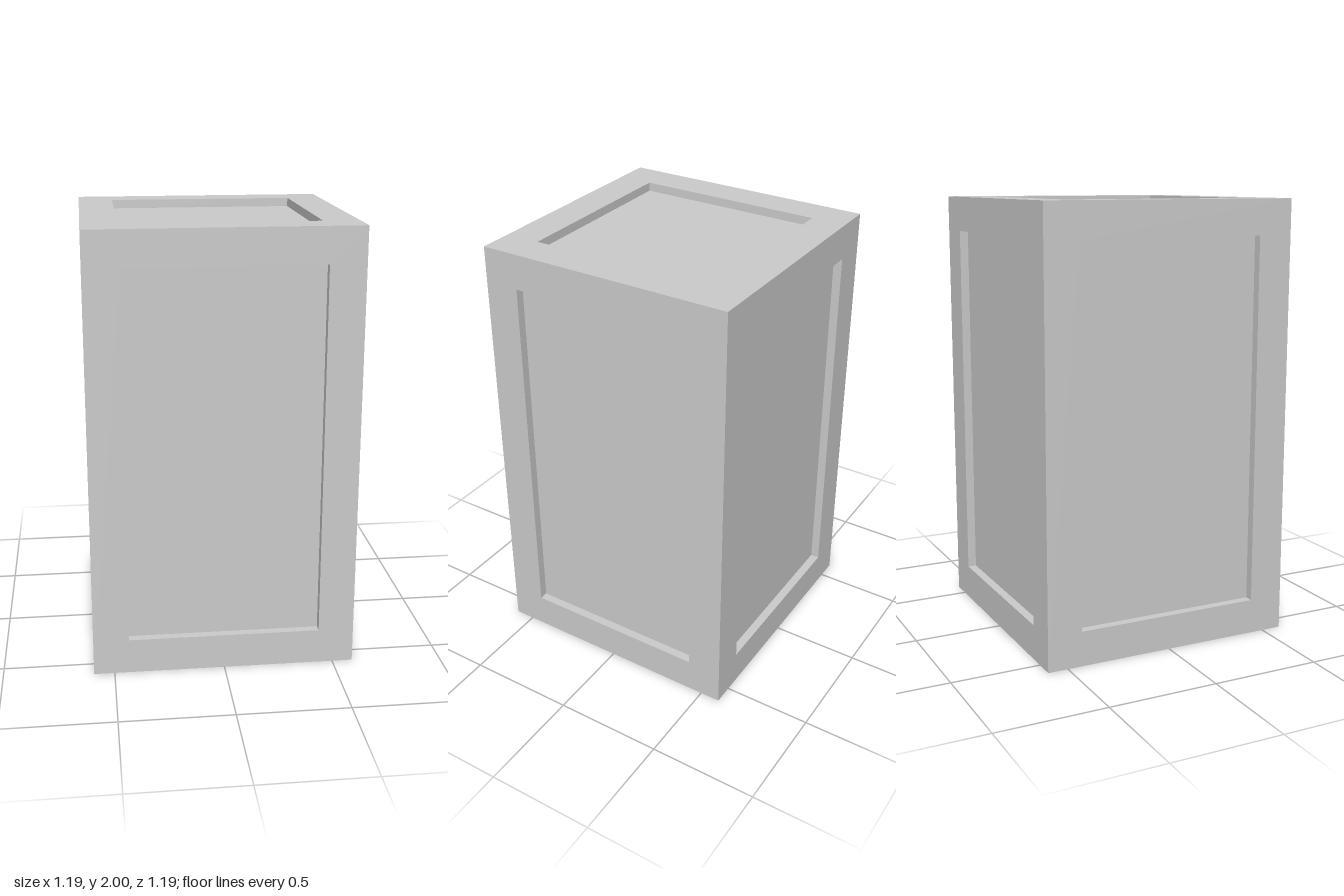
import * as THREE from 'three';
import { mergeGeometries } from 'three/addons/utils/BufferGeometryUtils.js';

const SIDE = 1.186, HEIGHT = 2, BORDER = 0.16, DEPTH = 0.04;

// Flat border with a sunken panel, centred on the origin and facing +z
function recessedFace(w, h) {
  const pw = w - 2 * BORDER, ph = h - 2 * BORDER;
  const rect = (Type, a, b) => new Type([
    new THREE.Vector2(-a / 2, -b / 2), new THREE.Vector2(a / 2, -b / 2),
    new THREE.Vector2(a / 2, b / 2), new THREE.Vector2(-a / 2, b / 2),
  ]);
  const outline = rect(THREE.Shape, w, h);
  outline.holes.push(rect(THREE.Path, pw, ph));
  const parts = [
    new THREE.ShapeGeometry(outline),
    new THREE.PlaneGeometry(pw, ph).translate(0, 0, -DEPTH),
  ];
  // Recess walls, facing the middle of the opening
  for (const s of [-1, 1]) {
    parts.push(
      new THREE.PlaneGeometry(DEPTH, ph).rotateY(-s * Math.PI / 2).translate(s * pw / 2, 0, -DEPTH / 2),
      new THREE.PlaneGeometry(pw, DEPTH).rotateX(s * Math.PI / 2).translate(0, s * ph / 2, -DEPTH / 2),
    );
  }
  return mergeGeometries(parts);
}

export function createModel() {
  const model = new THREE.Group();
  model.name = 'panelledBlock';
  const material = new THREE.MeshStandardMaterial({ color: 0xcccccc, flatShading: true });
  const add = (name, geometry) => {
    const mesh = new THREE.Mesh(geometry, material);
    mesh.name = name;
    model.add(mesh);
  };

  // Four upright sides
  ['frontPanel', 'leftPanel', 'backPanel', 'rightPanel'].forEach((name, i) => {
    add(name, recessedFace(SIDE, HEIGHT)
      .translate(0, HEIGHT / 2, SIDE / 2)
      .rotateY(i * Math.PI / 2));
  });

  // Sunken top and plain base
  add('topPanel', recessedFace(SIDE, SIDE).rotateX(-Math.PI / 2).translate(0, HEIGHT, 0));
  add('base', new THREE.PlaneGeometry(SIDE, SIDE).rotateX(Math.PI / 2));
  return model;
}
